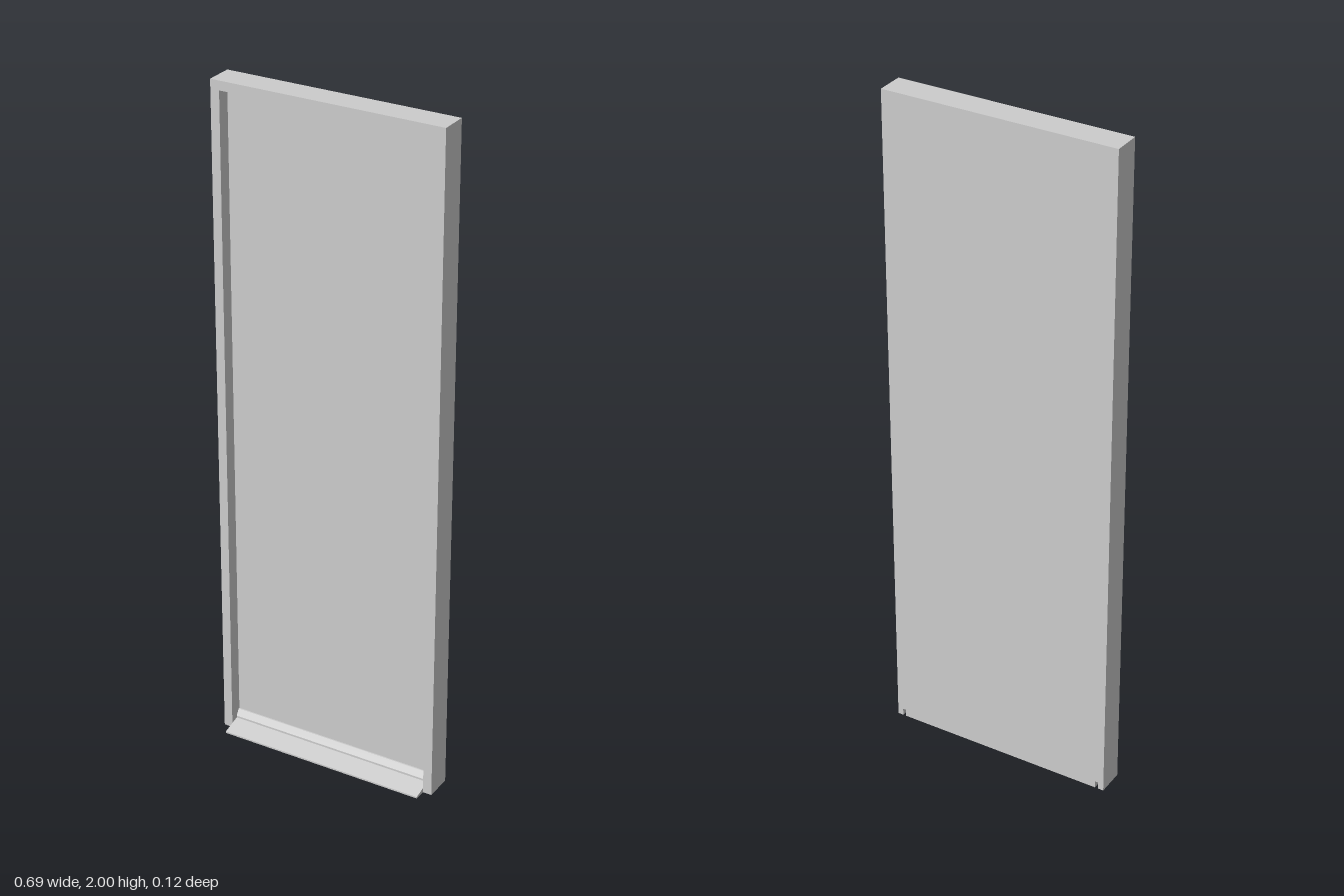
import * as THREE from 'three';

const material = new THREE.MeshStandardMaterial({ color: 0xcccccc, flatShading: true, side: THREE.DoubleSide });

const HALF_W = 0.347, HEIGHT = 2, BACK = -0.06, FRONT = 0.022;
const STOP = -0.017;   // plane where the slab meets the stop
const THIN = 0.017, THICK = 0.027;   // frame thickness behind and at the stop

function shapeOf(points) {
  return new THREE.Shape(points.map(([x, y]) => new THREE.Vector2(x, y)));
}

function addMesh(group, name, geometry) {
  const mesh = new THREE.Mesh(geometry, material);
  mesh.name = name;
  group.add(mesh);
  return mesh;
}

// Inverted-U outline of one frame layer, open at the floor
function frameLayer(thickness, z0, z1) {
  const inner = HALF_W - thickness, top = HEIGHT - thickness;
  const shape = shapeOf([
    [-HALF_W, 0], [-inner, 0], [-inner, top], [inner, top],
    [inner, 0], [HALF_W, 0], [HALF_W, HEIGHT], [-HALF_W, HEIGHT],
  ]);
  const geometry = new THREE.ExtrudeGeometry(shape, { depth: z1 - z0, bevelEnabled: false });
  return geometry.translate(0, 0, z0);
}

export function createModel() {
  const model = new THREE.Group();
  model.name = 'exteriorDoor';

  // Jambs and head with a rabbet that receives the slab
  const frame = new THREE.Group();
  frame.name = 'doorFrame';
  addMesh(frame, 'rabbetFrame', frameLayer(THIN, BACK, STOP));
  addMesh(frame, 'stopFrame', frameLayer(THICK, STOP, FRONT));
  model.add(frame);

  // Flat slab, flush with the back of the frame
  const slabBottom = 0.022, slabTop = HEIGHT - THIN;
  const slab = addMesh(model, 'doorSlab',
    new THREE.BoxGeometry(2 * (HALF_W - THIN), slabTop - slabBottom, STOP - BACK));
  slab.position.set(0, (slabTop + slabBottom) / 2, (STOP + BACK) / 2);

  // Sill: sloped nose, small riser and raised stop, profile given as [z, y]
  const sillHalf = HALF_W - THICK;
  const profile = shapeOf([
    [BACK, 0], [0.058, 0], [0.058, 0.005], [FRONT, 0.014], [-0.002, 0.02],
    [-0.002, 0.026], [-0.013, 0.045], [STOP, 0.045], [STOP, 0.022], [BACK, 0.022],
  ]);
  const sill = new THREE.ExtrudeGeometry(profile, { depth: 2 * sillHalf, bevelEnabled: false });
  sill.rotateY(-Math.PI / 2).translate(sillHalf, 0, 0);
  addMesh(model, 'sill', sill);

  return model;
}
